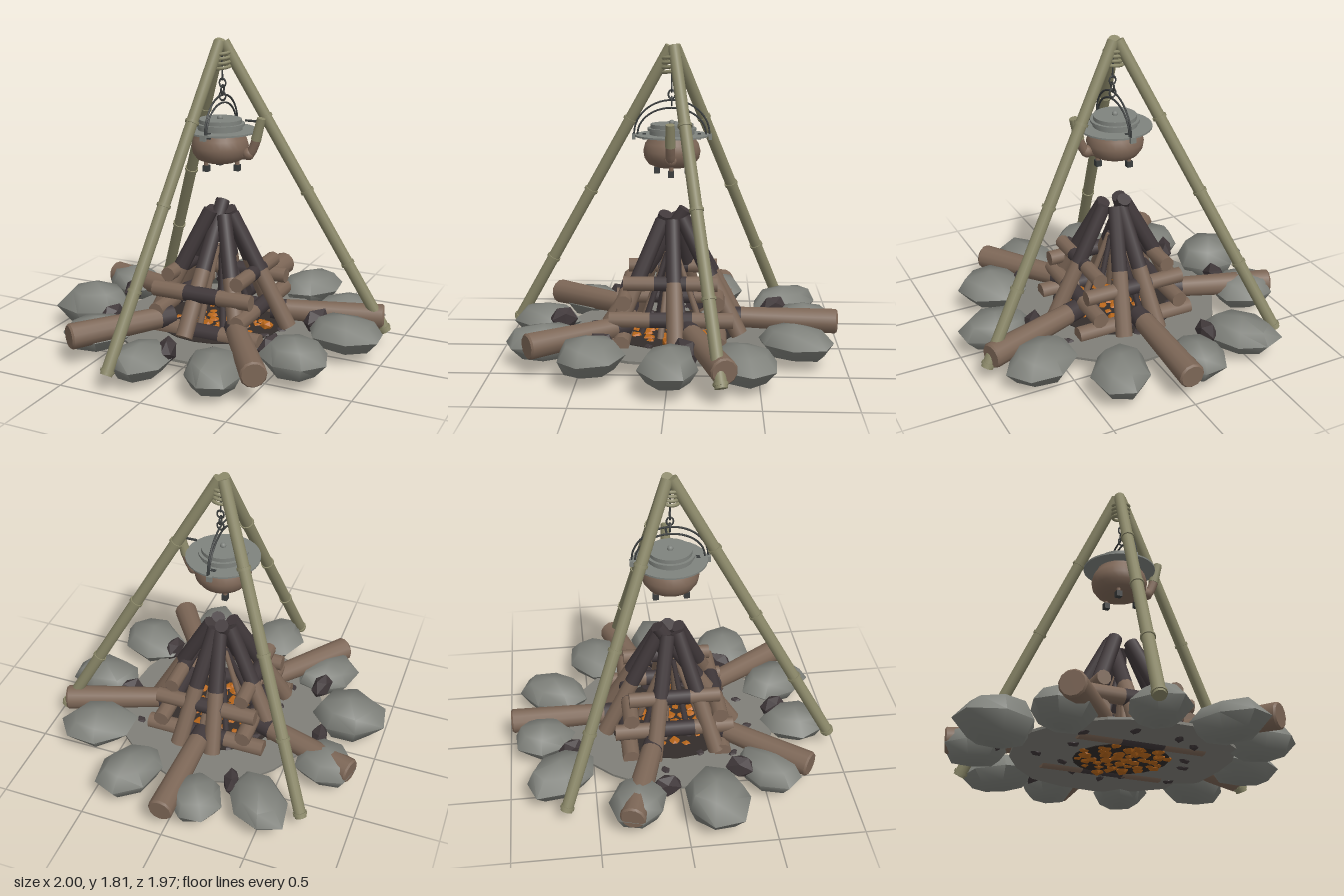
import * as THREE from 'three';
import { mergeVertices, toCreasedNormals } from 'three/addons/utils/BufferGeometryUtils.js';

const V = (x, y, z) => new THREE.Vector3(x, y, z);
const UP = V(0, 1, 0);

function material(name, color) {
  const m = new THREE.MeshStandardMaterial({ color });
  m.name = name;
  return m;
}

function seeded(seed) {
  let s = seed;
  return () => (s = (s * 16807) % 2147483647) / 2147483647;
}

export function createModel() {
  const root = new THREE.Group();
  root.name = 'campfire';
  const mat = {
    bamboo: material('bamboo', 0x8a8768),
    wood: material('wood', 0x7d6757),
    char: material('charred wood', 0x40383a),
    stone: material('stone', 0x7f817b),
    ash: material('ash', 0x807f78),
    soot: material('soot', 0x332d2a),
    ember: material('ember', 0xb8661a),
    clay: material('clay', 0x7f6858),
    lid: material('lid metal', 0x7f837e),
    iron: material('iron', 0x3b3e3e),
  };
  const rnd = seeded(4711);

  const group = (name, parent = root) => {
    const g = new THREE.Group();
    g.name = name;
    parent.add(g);
    return g;
  };
  const add = (parent, name, geo, m, x = 0, y = 0, z = 0) => {
    const mesh = new THREE.Mesh(geo, m);
    mesh.name = name;
    mesh.position.set(x, y, z);
    parent.add(mesh);
    return mesh;
  };
  // Tapered round bar running from a to b
  const rod = (parent, name, a, b, ra, rb, m, sides = 12) => {
    const d = b.clone().sub(a);
    const mesh = add(parent, name, new THREE.CylinderGeometry(rb, ra, d.length(), sides), m);
    mesh.position.copy(a).addScaledVector(d, 0.5);
    mesh.quaternion.setFromUnitVectors(UP, d.normalize());
    return mesh;
  };
  // Log that is charred between the fractions c0 and c1 of its length
  const log = (name, a, b, ra, rb, c0, c1, sides = 10) => {
    const g = group(name);
    const at = (t) => a.clone().lerp(b, t);
    const r = (t) => ra + (rb - ra) * t;
    [[0, c0, mat.wood], [c0, c1, mat.char], [c1, 1, mat.wood]].forEach(([s, e, m]) => {
      if (e > s) rod(g, m === mat.char ? 'charredPart' : 'barePart', at(s), at(e), r(s), r(e), m, sides);
    });
    return g;
  };
  // Irregular lump: the corners of a simple solid are jittered, then scaled to its half sizes
  const lump = (parent, name, solid, crease, rough, m, pos, half, turn) => {
    solid.deleteAttribute('uv');
    solid.deleteAttribute('normal');
    const geo = mergeVertices(solid, 1e-3);
    const p = geo.attributes.position;
    for (let i = 0; i < p.count; i++) {
      const k = 1.1 - rough * rnd();
      p.setXYZ(i, p.getX(i) * k * half[0], p.getY(i) * (1.05 - rough * 0.4 * rnd()) * half[1], p.getZ(i) * k * half[2]);
    }
    add(parent, name, toCreasedNormals(geo, crease), m, ...pos).rotation.y = turn;
  };
  const chunk = (parent, name, m, pos, half, turn) =>
    lump(parent, name, new THREE.IcosahedronGeometry(1, 0), 0.4, 0.3, m, pos, half, turn);

  // Ash bed with an uneven edge and a sooty centre
  const edge = [];
  for (let i = 0; i < 18; i++) {
    const a = (i / 18) * Math.PI * 2, r = 0.61 + 0.05 * rnd();
    edge.push(new THREE.Vector2(Math.cos(a) * r, Math.sin(a) * r));
  }
  const bed = new THREE.ExtrudeGeometry(new THREE.Shape(edge), { depth: 0.015, bevelEnabled: false });
  add(root, 'ashBed', bed, mat.ash, 0, 0.09, 0).rotation.x = -Math.PI / 2;
  add(root, 'sootPatch', new THREE.CylinderGeometry(0.38, 0.38, 0.009, 20), mat.soot, 0, 0.1045, 0);
  add(root, 'sootUnderside', new THREE.CylinderGeometry(0.27, 0.27, 0.009, 20), mat.soot, 0, 0.0905, 0);

  // Stone ring: x, z, radial half length, tangential half length, bottom, top
  const stones = group('stoneRing');
  [[-0.13, -0.79, 0.19, 0.16, 0.03, 0.24], [0.31, -0.71, 0.23, 0.17, 0.03, 0.24], [0.66, -0.41, 0.23, 0.18, 0.02, 0.23],
   [0.78, -0.02, 0.23, 0.17, 0.04, 0.25], [0.64, 0.43, 0.21, 0.18, 0.04, 0.26], [0.29, 0.72, 0.24, 0.17, 0.01, 0.22],
   [-0.13, 0.76, 0.21, 0.16, 0.02, 0.22], [-0.55, 0.52, 0.23, 0.16, 0.02, 0.22], [-0.78, 0.17, 0.23, 0.19, 0, 0.28],
   [-0.76, -0.27, 0.19, 0.17, 0.03, 0.25], [-0.48, -0.70, 0.23, 0.16, 0.03, 0.25],
  ].forEach(([x, z, rl, tl, y0, y1]) =>
    lump(stones, 'stone', new THREE.SphereGeometry(1, 7, 4), 1.1, 0.2, mat.stone,
      [x, (y0 + y1) / 2, z], [rl, (y1 - y0) / 2, tl], Math.atan2(-z, x)));

  // Charcoal lumps by the stones, and crumbs over the ash
  const coals = group('charcoal');
  [[-0.29, -0.62, 1.9], [-0.02, 0.65, 1.9], [0.48, 0.37, 1.3], [-0.55, 0.35, 1.2], [-0.67, -0.1, 1.7], [0.58, -0.1, 0.9],
  ].forEach(([x, z, turn]) =>
    chunk(coals, 'charcoalLump', mat.char, [x, 0.16, z], [0.095, 0.08, 0.055], turn));
  for (let i = 0; i < 13; i++) {
    const a = i * 2.4, r = 0.32 + 0.22 * rnd();
    chunk(coals, 'charcoalCrumb', mat.char, [Math.cos(a) * r, 0.096, Math.sin(a) * r], [0.044, 0.025, 0.028], a);
  }

  // Glowing embers in the middle
  const embers = group('embers');
  for (let i = 0; i < 44; i++) {
    const a = i * 2.4 + rnd() * 0.5, r = 0.26 * Math.sqrt((i + 0.5) / 44), s = 0.028 + 0.016 * rnd();
    chunk(embers, 'ember', mat.ember, [Math.cos(a) * r, 0.096, Math.sin(a) * r], [s * 1.15, s * 0.8, s], a);
  }
  chunk(embers, 'looseEmber', mat.ember, [0.3, 0.125, 0.01], [0.042, 0.03, 0.036], 0);

  // Five thick logs laid radially, with worn outer ends
  [[0.01, -0.97, 0.0, -0.32], [-0.91, -0.315, -0.3, -0.13], [0.91, -0.305, 0.28, -0.1],
   [-0.59, 0.75, -0.2, 0.25], [0.55, 0.77, 0.2, 0.25],
  ].forEach(([x0, z0, x1, z1]) => {
    const a = V(x0, 0.17, z0), b = V(x1, 0.19, z1);
    const g = log('radialLog', a, b, 0.075, 0.06, 0.86, 1, 12);
    rod(g, 'wornEnd', a.clone().addScaledVector(b.clone().sub(a).normalize(), -0.011), a, 0.066, 0.075, mat.wood);
  });

  // Square crib of stacked logs in four layers
  for (const s of [-1, 1]) {
    log('cribLog', V(-0.37, 0.125, s * 0.275), V(0.37, 0.125, s * 0.275), 0.052, 0.05, 0.33, 0.67);
    log('cribLog', V(s * 0.26, 0.24, -0.36), V(s * 0.26, 0.24, 0.35), 0.048, 0.046, 0.33, 0.67);
    log('cribLog', V(-0.31, 0.35, s * 0.265), V(0.31, 0.35, s * 0.265), 0.048, 0.046, 0.33, 0.67);
    log('cribLog', V(s * 0.22, 0.445, -0.27), V(s * 0.22, 0.445, 0.27), 0.045, 0.043, 0.33, 0.67);
  }

  // Leaning logs, charred at the top: azimuth in degrees, top height
  [[-5, 0.78], [52, 0.78], [145, 0.8], [200, 0.79], [258, 0.79], [288, 0.79]].forEach(([deg, top]) => {
    const a = (deg * Math.PI) / 180, c = Math.cos(a), s = Math.sin(a);
    log('leaningLog', V(c * 0.42, 0.12, s * 0.42), V(c * 0.065, top, s * 0.065), 0.05, 0.043, 0.5, 1);
  });
  // The front one reaches across the peak
  log('leaningLog', V(-0.06, 0.12, 0.38), V(-0.03, 0.835, -0.08), 0.05, 0.042, 0.48, 1);

  // Thin kindling inside
  const kindling = group('kindling');
  for (let i = 0; i < 8; i++) {
    const a = i * 0.785 + 0.3, r = 0.2;
    rod(kindling, 'stick', V(Math.cos(a) * r, 0.1, Math.sin(a) * r),
      V(Math.cos(a) * 0.03, 0.58, Math.sin(a) * 0.03), 0.02, 0.015, i % 2 ? mat.char : mat.wood, 7);
  }

  // Bamboo tripod with node rings
  const tripod = group('tripod');
  [[-0.23, 0.96], [0.94, -0.29], [-0.73, -0.68]].forEach(([x, z]) => {
    const pole = group('pole', tripod);
    const a = V(x, 0.09, z), b = V(x * 0.015 - 0.008, 1.785, z * 0.015 - 0.008);
    rod(pole, 'poleShaft', a, b, 0.035, 0.034, mat.bamboo, 14);
    const dir = b.clone().sub(a).normalize();
    for (const y of [0.11, 0.5, 0.93, 1.36]) {
      const p = a.clone().lerp(b, (y - a.y) / (b.y - a.y));
      rod(pole, 'poleNode', p.clone().addScaledVector(dir, -0.008), p.clone().addScaledVector(dir, 0.008),
        0.041, 0.041, mat.bamboo, 14);
    }
  });
  for (let i = 0; i < 4; i++) {
    const t = add(tripod, 'lashing', new THREE.TorusGeometry(0.05, 0.01, 8, 20), mat.bamboo, 0, 1.725 - i * 0.027, 0);
    t.rotation.set(Math.PI / 2 + 0.12, 0.08, 0);
  }

  // Cooking pot
  const pot = group('pot');
  const profile = [[0, 1.09], [0.09, 1.092], [0.135, 1.11], [0.16, 1.145], [0.167, 1.185], [0.155, 1.23],
    [0.135, 1.258], [0.13, 1.275], [0, 1.275]].map(([x, y]) => new THREE.Vector2(x, y));
  add(pot, 'potBody', toCreasedNormals(new THREE.LatheGeometry(profile, 28), 0.8), mat.clay, -0.01, 0, 0);
  add(pot, 'potRim', new THREE.CylinderGeometry(0.215, 0.215, 0.01, 28), mat.lid, -0.01, 1.276, 0);
  [[0.13, 1.292, 0.03], [0.143, 1.312, 0.014], [0.125, 1.33, 0.024]].forEach(([r, y, h]) =>
    add(pot, 'lidStep', new THREE.CylinderGeometry(r, r, h, 28), mat.lid, -0.01, y, 0));
  add(pot, 'lidKnob', new THREE.SphereGeometry(0.018, 12, 8), mat.lid, -0.01, 1.347, 0);
  [[0.1, 0], [-0.055, 0.09], [-0.055, -0.09]].forEach(([x, z]) => {
    add(pot, 'potFoot', new THREE.BoxGeometry(0.034, 0.036, 0.034), mat.iron, x, 1.063, z);
    add(pot, 'potFootStem', new THREE.CylinderGeometry(0.013, 0.013, 0.04, 8), mat.clay, x, 1.1, z);
  });

  // Curved spout with a bamboo mouth and its brace
  const spout = new THREE.CatmullRomCurve3([V(0.13, 1.14, 0), V(0.18, 1.155, 0), V(0.205, 1.2, 0), V(0.222, 1.25, 0)]);
  add(pot, 'spout', new THREE.TubeGeometry(spout, 14, 0.027, 10), mat.clay);
  add(pot, 'spoutBase', new THREE.SphereGeometry(0.036, 12, 8), mat.clay, 0.17, 1.15, 0);
  rod(pot, 'spoutMouth', V(0.216, 1.235, 0), V(0.25, 1.365, 0), 0.03, 0.025, mat.bamboo, 10);
  rod(pot, 'spoutBrace', V(0.15, 1.345, 0), V(0.25, 1.345, 0), 0.007, 0.007, mat.iron, 6);

  // Bail handles with their lugs
  for (const s of [-1, 1]) {
    add(pot, 'handleLug', new THREE.BoxGeometry(0.032, 0.034, 0.02), mat.lid, -0.01, 1.268, s * 0.222);
    add(pot, 'innerLug', new THREE.BoxGeometry(0.03, 0.034, 0.02), mat.iron, -0.01, 1.268, s * 0.16);
  }
  [[0.22, 0.2], [0.2, 0.155]].forEach(([w, h]) => {
    const pts = [];
    for (let i = 0; i <= 12; i++) {
      const a = (i / 12) * Math.PI;
      pts.push(V(0, 1.28 + Math.sin(a) * h, Math.cos(a) * w));
    }
    add(pot, 'bailHandle', new THREE.TubeGeometry(new THREE.CatmullRomCurve3(pts), 28, 0.006, 6), mat.iron);
  });

  // Hook and chain up to the lashing
  const chain = group('chain');
  for (let i = 0; i < 3; i++) {
    const link = add(chain, 'chainLink', new THREE.TorusGeometry(0.02, 0.005, 6, 14), mat.iron, 0.005, 1.475 + i * 0.038, 0);
    link.scale.y = 1.25;
    link.rotation.y = (i % 2) * Math.PI / 2;
  }
  rod(chain, 'hangingRod', V(0.005, 1.565, 0), V(0, 1.75, 0), 0.005, 0.005, mat.iron, 6);

  return root;
}
